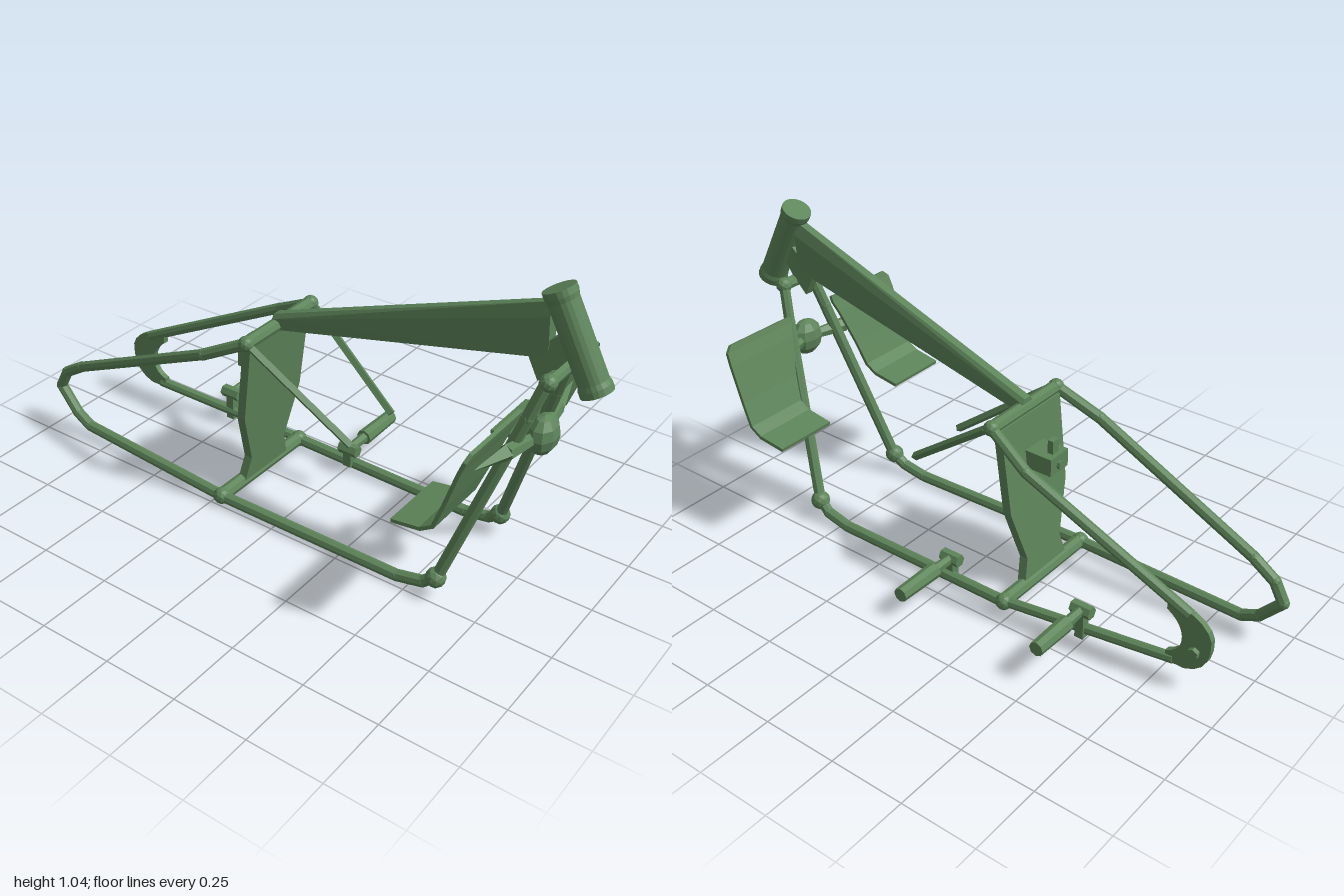
import * as THREE from 'three';
import { ConvexGeometry } from 'three/addons/geometries/ConvexGeometry.js';

const V = (x, y, z) => new THREE.Vector3(x, y, z);

export function createModel() {
  const frame = new THREE.Group();
  frame.name = 'motorcycleFrame';
  frame.position.z = 0.025; // parts below are placed about the frame's own centre plane
  const green = new THREE.MeshStandardMaterial({ color: 0x5d8459, flatShading: true });
  green.name = 'frameGreen';

  const add = (name, geo, x = 0, y = 0, z = 0) => {
    const m = new THREE.Mesh(geo, green);
    m.name = name;
    m.position.set(x, y, z);
    frame.add(m);
    return m;
  };
  // straight bar between two points
  const bar = (name, a, b, r0, r1 = r0, sides = 8) => {
    const d = b.clone().sub(a);
    const m = add(name, new THREE.CylinderGeometry(r1, r0, d.length(), sides));
    m.position.copy(a).addScaledVector(d, 0.5);
    m.quaternion.setFromUnitVectors(V(0, 1, 0), d.normalize());
    return m;
  };
  const joint = (name, x, y, z, r) => add(name, new THREE.IcosahedronGeometry(r, 1), x, y, z);
  // run of bars with mitre balls at the bends
  const rail = (name, pts, r) => {
    for (let i = 1; i < pts.length; i++) {
      bar(name, pts[i - 1], pts[i], r);
      if (i < pts.length - 1) joint(name + 'Bend', pts[i].x, pts[i].y, pts[i].z, r * 1.03);
    }
  };
  // closed loft through rings of equal size
  const loft = (rings) => {
    const n = rings[0].length, pos = rings.flat().flatMap((p) => [p.x, p.y, p.z]), idx = [];
    for (let k = 0; k < rings.length - 1; k++)
      for (let i = 0; i < n; i++) {
        const a = k * n + i, b = k * n + ((i + 1) % n);
        idx.push(a, b, a + n, b, b + n, a + n);
      }
    const e = (rings.length - 1) * n;
    for (let i = 1; i < n - 1; i++) idx.push(0, i + 1, i, e, e + i, e + i + 1);
    const g = new THREE.BufferGeometry();
    g.setAttribute('position', new THREE.Float32BufferAttribute(pos, 3));
    g.setIndex(idx);
    g.computeVertexNormals();
    return g;
  };

  // steering head with flared rims
  const head = add('headTube', new THREE.LatheGeometry([
    [0, -0.155], [0.049, -0.155], [0.049, -0.135], [0.045, -0.12],
    [0.045, 0.12], [0.049, 0.135], [0.049, 0.155], [0, 0.155],
  ].map(([x, y]) => new THREE.Vector2(x, y)), 20), 0.876, 0.884, 0);
  head.rotation.z = 0.475;

  // backbone: deep at the head, slim at the seat
  const bone = [];
  for (const s of [-1, 1]) {
    bone.push(V(-0.14, 0.645, s * 0.014), V(-0.14, 0.63, s * 0.024), V(-0.12, 0.595, s * 0.018));
    bone.push(V(0.80, 0.985, s * 0.014), V(0.80, 0.94, s * 0.026), V(0.80, 0.81, s * 0.014));
  }
  add('backbone', new ConvexGeometry(bone));
  const gusset = new THREE.Shape([[0.735, 0.81], [0.775, 0.73], [0.83, 0.785], [0.87, 0.84], [0.84, 0.9]]
    .map((p) => new THREE.Vector2(...p)));
  add('headGusset', new THREE.ExtrudeGeometry(gusset, { depth: 0.03, bevelEnabled: false }), 0, 0, -0.015);

  for (const s of [-1, 1]) {
    // down tube and cradle rail
    rail('cradleRail', [V(0.83, 0.775, s * 0.06), V(0.79, 0.65, s * 0.085), V(0.595, 0.075, s * 0.19),
      V(0.55, 0.04, s * 0.197), V(0.46, 0.022, s * 0.2), V(-0.21, 0.03, s * 0.208)], 0.019);
    joint('cradleJoint', 0.592, 0.072, s * 0.192, 0.033);
    joint('seatPostJoint', -0.215, 0.032, s * 0.208, 0.029);
    joint('headJoint', 0.83, 0.765, s * 0.06, 0.027);
    joint('seatJoint', -0.13, 0.61, s * 0.165, 0.026);
    // seat struts
    bar('seatStrut', V(-0.11, 0.6, s * 0.165), V(0.225, 0.35, s * 0.112), 0.014, 0.014, 4);

    // bent footboard
    const rows = [ // x, y, normal x, normal y, inner, outer
      [0.55, 0.38, 0.2, -0.98, 0.165, 0.385], [0.645, 0.395, 0.25, -0.97, 0.165, 0.388],
      [0.685, 0.42, 0.8, -0.6, 0.165, 0.388], [0.715, 0.5, 0.95, -0.3, 0.15, 0.388],
      [0.755, 0.62, 0.95, -0.3, 0.115, 0.388], [0.77, 0.66, 0.95, -0.3, 0.1, 0.385],
      [0.776, 0.68, 0.95, -0.3, 0.1, 0.365],
    ];
    add('footboard', loft(rows.map(([x, y, nx, ny, a, b]) => {
      const t = 0.006;
      const ring = [[a, -t], [b, -t], [b, t], [a, t]].map(([z, o]) => V(x + nx * o, y + ny * o, s * z));
      return s > 0 ? ring : ring.reverse();
    })));
    // tapered arm carrying the footboard
    bar('footboardArm', V(0.79, 0.56, s * 0.04), V(0.765, 0.56, s * 0.145), 0.018, 0.026, 6);
    bar('footboardSpike', V(0.765, 0.56, s * 0.145), V(0.745, 0.572, s * 0.285), 0.026, 0.002, 4);
  }
  bar('headCrossTube', V(0.83, 0.765, -0.06), V(0.83, 0.765, 0.06), 0.02);
  bar('seatCrossTube', V(-0.13, 0.61, -0.165), V(-0.13, 0.61, 0.165), 0.022);
  bar('lowerCrossTube', V(-0.215, 0.034, -0.208), V(-0.215, 0.034, 0.208), 0.024);
  const hub = add('footboardHub', new THREE.SphereGeometry(0.063, 9, 6), 0.803, 0.56, 0);
  hub.scale.x = 0.7;

  // left rear loop
  rail('rearLoop', [V(-0.21, 0.03, 0.208), V(-0.84, 0.045, 0.175), V(-0.9, 0.075, 0.17), V(-0.975, 0.16, 0.165),
    V(-0.94, 0.225, 0.165), V(-0.86, 0.275, 0.17), V(-0.28, 0.535, 0.195), V(-0.13, 0.61, 0.165)], 0.019);

  // right rear stays and axle plate
  rail('rearUpperStay', [V(-0.84, 0.255, -0.16), V(-0.28, 0.53, -0.195), V(-0.13, 0.61, -0.165)], 0.018);
  rail('rearLowerStay', [V(-0.8, 0.075, -0.16), V(-0.21, 0.033, -0.208)], 0.017);
  const axle = new THREE.Shape();
  axle.moveTo(-0.77, 0.285);
  axle.quadraticCurveTo(-0.9, 0.27, -0.92, 0.2);
  axle.quadraticCurveTo(-0.93, 0.09, -0.84, 0.065);
  axle.lineTo(-0.775, 0.065);
  axle.lineTo(-0.775, 0.1);
  axle.quadraticCurveTo(-0.83, 0.12, -0.825, 0.175);
  axle.quadraticCurveTo(-0.82, 0.22, -0.77, 0.25);
  add('axlePlate', new THREE.ExtrudeGeometry(axle, { depth: 0.02, bevelEnabled: false, curveSegments: 5 }), 0, 0, -0.17);
  bar('axleBolt', V(-0.87, 0.14, -0.145), V(-0.87, 0.14, -0.185), 0.018, 0.018, 6);

  // waisted, sloping panel under the seat
  const half = [[0.11, 0.02], [0.11, 0.045], [0.087, 0.125], [0.145, 0.31], [0.15, 0.6]];
  const outline = [...half, ...half.map(([z, y]) => [-z, y]).reverse()];
  const panel = new THREE.ExtrudeGeometry(new THREE.Shape(outline.map((p) => new THREE.Vector2(...p))),
    { depth: 0.03, bevelEnabled: false });
  panel.applyMatrix4(new THREE.Matrix4().set(
    0, 0.125, -1, -0.2,
    0, 1, 0, 0,
    1, 0, 0, 0,
    0, 0, 0, 1));
  add('seatPanel', panel);

  // bracket behind the panel
  add('bracketBox', new THREE.BoxGeometry(0.1, 0.06, 0.09), -0.215, 0.46, 0);
  add('bracketFin', new THREE.BoxGeometry(0.02, 0.09, 0.03), -0.24, 0.49, 0);
  bar('bracketPin', V(-0.26, 0.455, 0), V(-0.275, 0.455, 0), 0.015);

  // right-hand foot pegs
  for (const [x, y] of [[0.012, 0.088], [-0.495, 0.125]]) {
    add('pegBracket', new THREE.BoxGeometry(0.03, y - 0.02, 0.03), x, (y + 0.03) / 2, -0.19);
    bar('pegKnuckle', V(x - 0.035, y, -0.19), V(x + 0.035, y, -0.19), 0.022, 0.022, 6);
    bar('pegStem', V(x, y, -0.18), V(x, y, -0.28), 0.015, 0.018, 6);
    bar('pegGrip', V(x, y, -0.275), V(x, y, x > 0 ? -0.44 : -0.425), 0.027, 0.024, 8);
  }

  const model = new THREE.Group();
  model.name = 'model';
  model.add(frame);
  return model;
}
